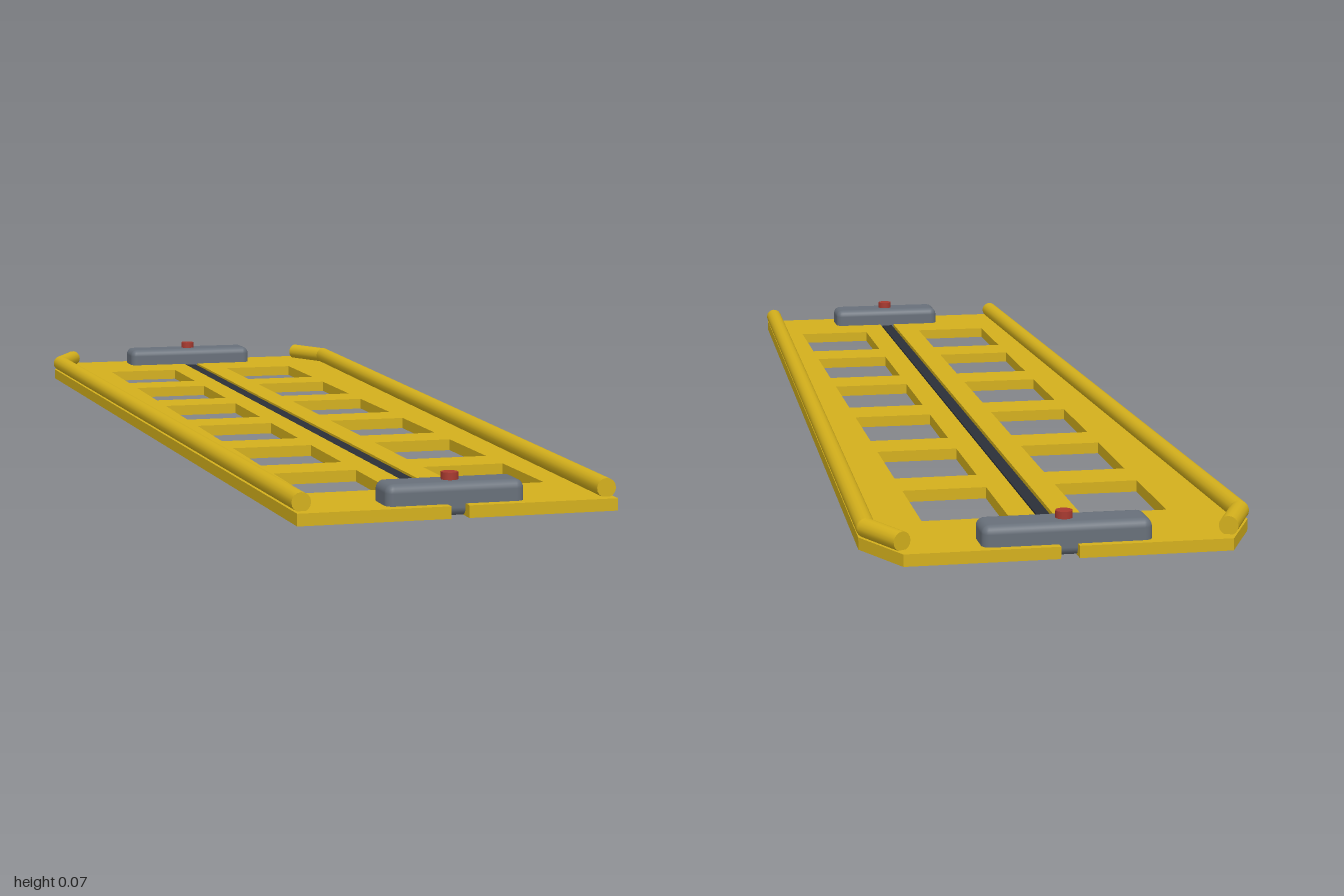
import * as THREE from 'three';
import { RoundedBoxGeometry } from 'three/addons/geometries/RoundedBoxGeometry.js';

const yellow = new THREE.MeshStandardMaterial({ color: 0xd4b01c });
const grey = new THREE.MeshStandardMaterial({ color: 0x68707a });
const dark = new THREE.MeshStandardMaterial({ color: 0x2b3038 });
const red = new THREE.MeshStandardMaterial({ color: 0xa83a30 });

const THICK = 0.02;
const RAIL_R = 0.016;

function add(parent, name, geometry, material, x = 0, y = 0, z = 0) {
  const mesh = new THREE.Mesh(geometry, material);
  mesh.name = name;
  mesh.position.set(x, y, z);
  parent.add(mesh);
  return mesh;
}

// Tapered half board with six rectangular windows; side is +1 or -1
function panelGeometry(side) {
  const points = (list) => list.map(([x, z]) => new THREE.Vector2(side * x, z));
  const shape = new THREE.Shape(
    points([[0.015, 1], [0.265, 1], [0.32, -0.89], [0.265, -1], [0.015, -1]]));
  for (let i = 0; i < 6; i++) {
    const z = -0.71 + i * 0.287;
    shape.holes.push(new THREE.Path(
      points([[0.06, z - 0.1], [0.205, z - 0.1], [0.205, z + 0.1], [0.06, z + 0.1]])));
  }
  const geometry = new THREE.ExtrudeGeometry(shape, { depth: THICK, bevelEnabled: false });
  return geometry.rotateX(Math.PI / 2).translate(0, THICK, 0);
}

// Straight round bar between two points
function addBar(parent, name, a, b) {
  const dir = b.clone().sub(a);
  const bar = add(parent, name, new THREE.CylinderGeometry(RAIL_R, RAIL_R, dir.length(), 16), yellow);
  bar.position.copy(a).add(b).multiplyScalar(0.5);
  bar.quaternion.setFromUnitVectors(new THREE.Vector3(0, 1, 0), dir.normalize());
}

// Hand rail that follows the outer edge and bends in at the head end
function createRail(side) {
  const rail = new THREE.Group();
  const y = 0.034;
  const [foot, bend, head] = [[0.253, 0.98], [0.307, -0.885], [0.263, -0.975]]
    .map(([x, z]) => new THREE.Vector3(side * x, y, z));
  addBar(rail, 'railSide', foot, bend);
  addBar(rail, 'railHeadEnd', bend, head);
  add(rail, 'railBend', new THREE.SphereGeometry(RAIL_R, 16, 12), yellow, bend.x, y, bend.z);
  return rail;
}

// Latch block with a release button on top
function createLatch(width, z) {
  const latch = new THREE.Group();
  add(latch, 'latchBlock', new RoundedBoxGeometry(width, 0.054, 0.072, 3, 0.014), grey, 0, 0.027, z);
  add(latch, 'releaseButton', new THREE.CylinderGeometry(0.014, 0.014, 0.02, 16), red, 0, 0.056, z);
  return latch;
}

export function createModel() {
  const model = new THREE.Group();
  model.name = 'scoopStretcher';

  for (const [side, label] of [[1, 'left'], [-1, 'right']]) {
    add(model, `${label}Panel`, panelGeometry(side), yellow);
    const rail = createRail(side);
    rail.name = `${label}Rail`;
    model.add(rail);
  }

  // Dark seam strip between the halves
  add(model, 'seamStrip', new THREE.BoxGeometry(0.022, 0.016, 1.86), dark, 0, 0.01, 0);

  const footLatch = createLatch(0.23, 0.945);
  footLatch.name = 'footLatch';
  const headLatch = createLatch(0.275, -0.95);
  headLatch.name = 'headLatch';
  model.add(footLatch, headLatch);
  return model;
}
